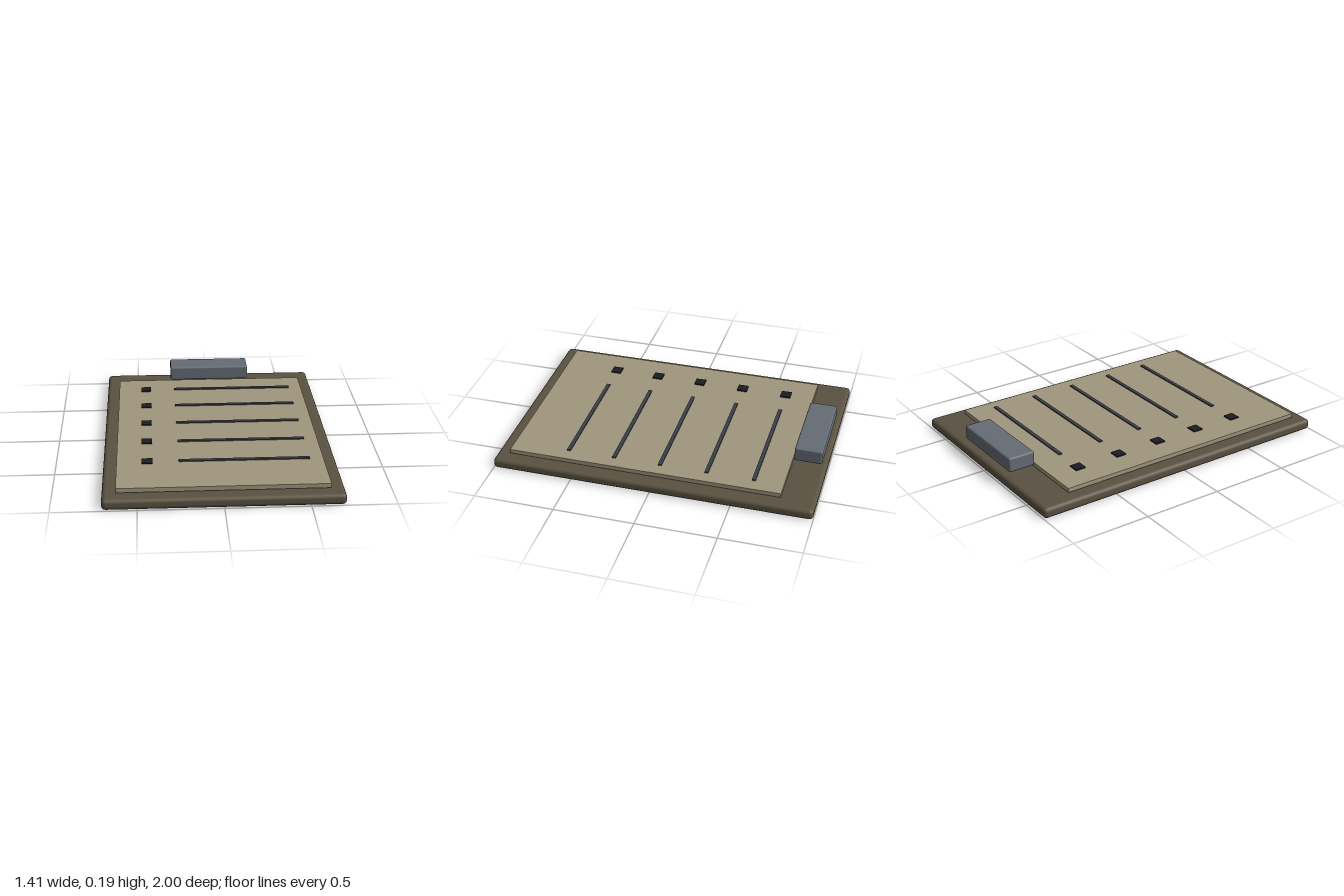
import * as THREE from 'three';
import { RoundedBoxGeometry } from 'three/addons/geometries/RoundedBoxGeometry.js';

const material = (color) => new THREE.MeshStandardMaterial({ color });

export function createModel() {
  const model = new THREE.Group();
  model.name = 'clipboard';

  const add = (name, geometry, mat, x, y, z, parent = model) => {
    const mesh = new THREE.Mesh(geometry, mat);
    mesh.name = name;
    mesh.position.set(x, y, z);
    parent.add(mesh);
    return mesh;
  };

  // Backing board with softly rounded edges
  add('board', new RoundedBoxGeometry(1.41, 0.067, 2, 3, 0.025), material(0x5a5241), 0, 0.0335, 0);

  // Paper sheet, just clear of the board
  add('paper', new THREE.BoxGeometry(1.246, 0.027, 1.706), material(0xa0967d), 0, 0.0865, 0.062);

  // Clip at the head of the board
  add('clip', new RoundedBoxGeometry(0.536, 0.093, 0.173, 3, 0.012), material(0x656c75), 0, 0.1425, -0.886);

  // Checklist: five rows of a tick box and a ruled line
  const boxGeometry = new THREE.BoxGeometry(0.066, 0.009, 0.066);
  const lineGeometry = new THREE.BoxGeometry(0.79, 0.009, 0.023);
  const boxMaterial = material(0x1b1d23);
  const lineMaterial = material(0x3c3f48);
  for (let i = 0; i < 5; i++) {
    const row = new THREE.Group();
    row.name = `checklistRow${i + 1}`;
    row.position.set(0, 0.1035, -0.608 + i * 0.292);
    add('tickBox', boxGeometry, boxMaterial, -0.441, 0, 0, row);
    add('ruledLine', lineGeometry, lineMaterial, 0.145, 0, 0, row);
    model.add(row);
  }

  return model;
}
